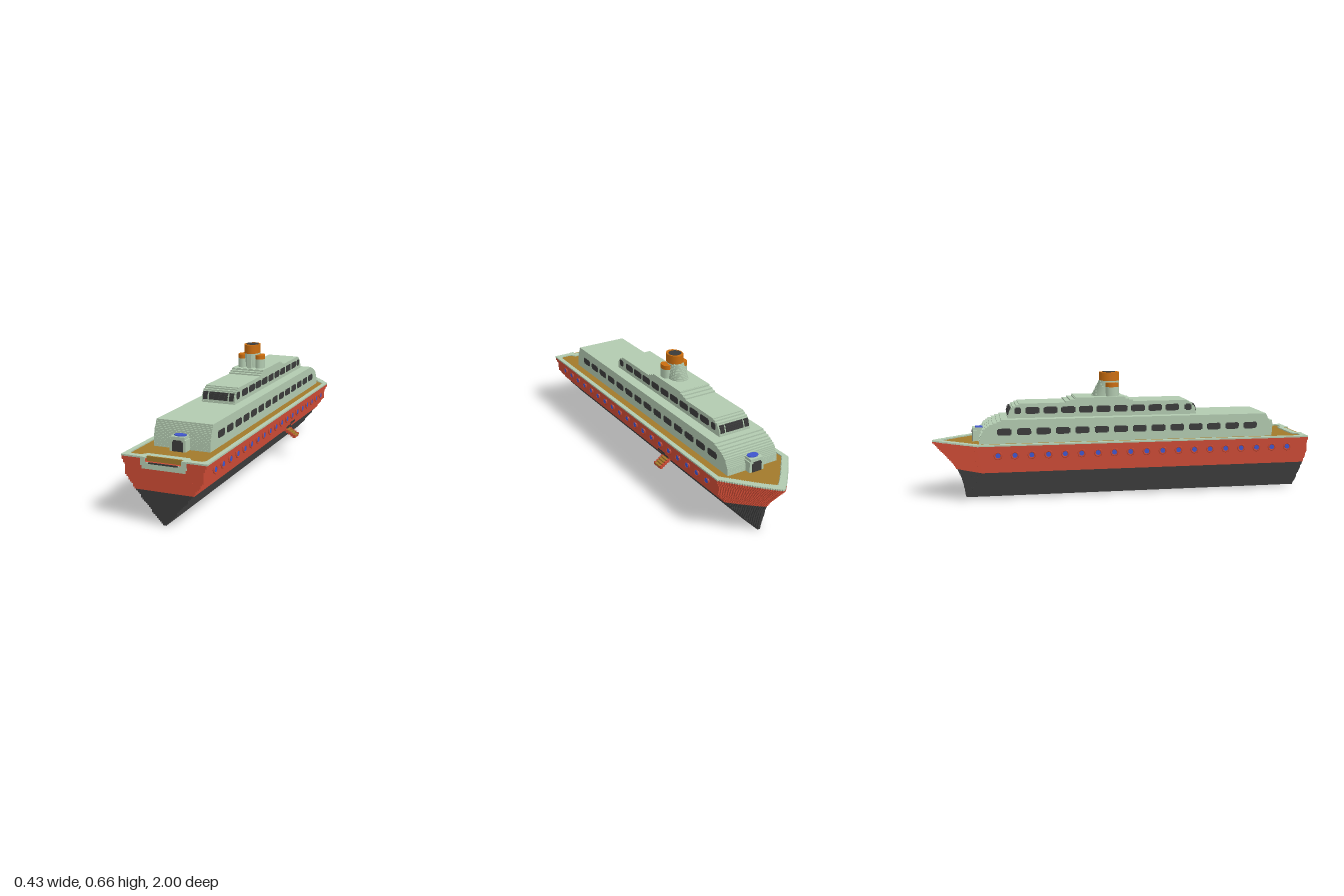
import * as THREE from 'three';
import { mergeGeometries } from 'three/addons/utils/BufferGeometryUtils.js';

const U = 2 / 256; // block step
const mat = (name, color) => Object.assign(new THREE.MeshStandardMaterial({ color }), { name });

// piecewise linear lookup in [key, value] pairs
function look(table, t) {
  for (let i = 1; i < table.length; i++) {
    const [a, va] = table[i - 1], [b, vb] = table[i];
    if (t <= b) return va + (vb - va) * Math.max(0, (t - a) / (b - a));
  }
  return table[table.length - 1][1];
}
const snap = v => Math.round(v / U) * U;

// box from min/max corners
function box(x0, x1, y0, y1, z0, z1) {
  return new THREE.BoxGeometry(x1 - x0, y1 - y0, z1 - z0)
    .translate((x0 + x1) / 2, (y0 + y1) / 2, (z0 + z1) / 2);
}

// ship outline seen from above, with a stepped pointed bow
function plan(half, tip, shoulder, stern) {
  const n = Math.max(1, Math.round(half / U)), side = [];
  for (let i = 0; i < n; i++) {
    const z = tip + (shoulder - tip) * Math.pow(i / n, 1.1);
    side.push([i * U, z], [(i + 1) * U, z]);
  }
  side.shift();
  return [...side, ...stern, ...[...stern].reverse().map(([x, z]) => [-x, z]),
    ...side.reverse().map(([x, z]) => [-x, z])].map(p => new THREE.Vector2(...p));
}
function slab(outline, y0, y1, hole) {
  const s = new THREE.Shape(outline);
  if (hole) s.holes.push(new THREE.Path(hole));
  return new THREE.ExtrudeGeometry(s, { depth: y1 - y0, bevelEnabled: false })
    .rotateX(Math.PI / 2).translate(0, y1, 0);
}

// deckhouse with stepped sloping ends
function house(half, y0, y1, aft, fore) {
  const parts = [];
  for (let y = y0; y < y1 - 1e-6; y += U) {
    const t = Math.min(y + U, y1);
    parts.push(box(-half, half, y, t, look(fore, t), look(aft, t)));
  }
  return mergeGeometries(parts);
}

// side window plates with clipped corners, on both sides
function sideWindows(x, y, list, h) {
  const parts = [];
  for (const [z, w] of list) for (const s of [-1, 1]) {
    const a = s * x - 0.003, b = s * x + 0.003;
    parts.push(box(a, b, y - h / 2 + 0.005, y + h / 2 - 0.005, z - w / 2, z + w / 2));
    parts.push(box(a, b, y - h / 2, y + h / 2, z - w / 2 + 0.006, z + w / 2 - 0.006));
  }
  return mergeGeometries(parts);
}

export function createModel() {
  const g = new THREE.Group();
  g.name = 'ship';
  const pale = mat('pale green paint', 0xb2cab0), red = mat('red hull', 0xcb4a34),
    dark = mat('charcoal', 0x3a3a3a), wood = mat('deck wood', 0xa27a2b),
    orange = mat('orange paint', 0xcb6d0d), blue = mat('blue glass', 0x3f55cc);
  const add = (name, geo, m) => {
    const mesh = new THREE.Mesh(geo, m);
    mesh.name = name;
    g.add(mesh);
    return mesh;
  };

  // hull built from stacked slabs
  const halfAt = [[0, 0.004], [0.155, 0.14], [0.23, 0.197], [0.29, 0.2], [0.3, 0.214], [0.32, 0.214]];
  const tipAt = [[0, -0.83], [0.06, -0.84], [0.11, -0.852], [0.155, -0.873], [0.2, -0.905], [0.25, -0.95], [0.305, -1]];
  const shoulderAt = [[0, -0.82], [0.155, -0.74], [0.31, -0.76]];
  const keel = [], upper = [];
  for (let i = 0; i < 39; i++) {
    const y = i * U, t = y + U, w = Math.max(U, snap(look(halfAt, t)));
    const stern = i < 37 ? [[w, 0.996]] : [[w, 0.996], [0.09, 0.996], [0.09, 0.975]];
    (i < 20 ? keel : upper).push(slab(plan(w, look(tipAt, t), look(shoulderAt, t), stern), y, t));
  }
  add('lowerHull', mergeGeometries(keel), dark);
  add('upperHull', mergeGeometries(upper), red);

  // deck and rail
  const inner = plan(0.19, -0.95, -0.74, [[0.19, 0.95], [0.175, 0.967], [0.125, 0.967], [0.105, 0.94]]);
  const outer = plan(0.214, -1, -0.76, [[0.214, 0.996], [0.09, 0.996], [0.09, 0.975]]);
  add('deck', slab(inner, 38 * U, 39 * U + 0.002), wood);
  add('rail', slab(outer, 39 * U, 40 * U, inner), pale);

  // stern gate
  add('sternFrame', mergeGeometries([
    box(-0.115, -0.09, 0.273, 0.3125, 0.994, 1), box(0.09, 0.115, 0.273, 0.3125, 0.994, 1),
    box(-0.108, 0.108, 0.258, 0.289, 0.994, 1)]), pale);
  add('sternGate', box(-0.09, 0.09, 0.289, 0.3125, 0.973, 0.982), wood);
  add('sternSlot', box(-0.073, 0.073, 0.283, 0.2895, 0.996, 1.002), dark);

  // deckhouses
  add('lowerHouse', house(0.145, 0.305, 0.43,
    [[0.305, 0.813], [0.35, 0.81], [0.39, 0.8], [0.43, 0.78]],
    [[0.305, -0.76], [0.345, -0.755], [0.385, -0.735], [0.41, -0.7], [0.43, -0.645]]), pale);
  add('upperHouse', house(0.09, 0.43, 0.506,
    [[0.43, 0.403], [0.47, 0.395], [0.495, 0.375], [0.506, 0.35]],
    [[0.43, -0.61], [0.47, -0.6], [0.495, -0.58], [0.506, -0.55]]), pale);
  add('topHouse', house(0.09, 0.506, 0.531,
    [[0.506, 0.075], [0.531, 0.01]], [[0.506, -0.33], [0.531, -0.25]]), pale);

  // side windows
  const low = [], high = [[0.358, 0.038], [-0.555, 0.035]];
  for (let i = 0; i < 14; i++) low.push([0.69 - i * 0.1015, 0.074]);
  for (let i = 0; i < 9; i++) high.push([0.27 - i * 0.0935, 0.074]);
  add('lowerWindows', sideWindows(0.145, 0.368, low, 0.035), dark);
  add('upperWindows', sideWindows(0.09, 0.469, high, 0.035), dark);

  // end windows follow the stepped slope
  const panes = [];
  for (const [a, b] of [[-0.083, -0.06], [-0.05, 0.05], [0.06, 0.083]]) {
    for (let i = 0; i < 5; i++) {
      const y = 0.446 + i * 0.0075;
      const za = look([[0.43, 0.403], [0.47, 0.395], [0.495, 0.375]], y);
      const zf = look([[0.43, -0.61], [0.47, -0.6], [0.495, -0.58]], y);
      panes.push(box(a, b, y, y + 0.0075, za - 0.004, za + 0.003));
      panes.push(box(a, b, y, y + 0.0075, zf - 0.003, zf + 0.004));
    }
  }
  add('endWindows', mergeGeometries(panes), dark);

  // porches with doors and skylights
  for (const [name, z0, z1, face, mid] of [
    ['aft', 0.79, 0.855, 0.855, 0.822], ['fore', -0.79, -0.72, -0.79, -0.755]]) {
    add(name + 'Porch', mergeGeometries([
      box(-0.041, 0.041, 0.305, 0.362, z0, z1), box(-0.035, 0.035, 0.362, 0.376, z0, z1)]), pale);
    add(name + 'Door', mergeGeometries([
      box(-0.027, 0.027, 0.307, 0.352, face - 0.003, face + 0.003),
      box(-0.021, 0.021, 0.352, 0.36, face - 0.003, face + 0.003)]), dark);
    add(name + 'Skylight', new THREE.CylinderGeometry(0.031, 0.031, 0.006, 8)
      .rotateY(Math.PI / 8).scale(1, 1, 0.75).translate(0, 0.377, mid), blue);
  }

  // portholes with rims
  const rims = [], glass = [];
  for (let i = 0; i < 19; i++) for (const s of [-1, 1]) {
    const z = 0.882 - i * 0.086;
    rims.push(new THREE.TorusGeometry(0.018, 0.005, 4, 8).rotateY(Math.PI / 2).translate(s * 0.2, 0.255, z));
    glass.push(new THREE.CylinderGeometry(0.013, 0.013, 0.006, 8).rotateZ(Math.PI / 2).translate(s * 0.201, 0.255, z));
  }
  add('portholeRims', mergeGeometries(rims), red);
  add('portholes', mergeGeometries(glass), blue);

  // boarding door and stair on the left side
  const door = [], treads = [], risers = [];
  for (let i = 21; i < 27; i++) {
    const w = snap(look(halfAt, (i + 1) * U));
    door.push(box(w - 0.02, w + 0.003, i * U, (i + 1) * U, -0.25, -0.186));
  }
  for (let i = 0; i < 5; i++) {
    const x = 0.138 + i * 0.0135, y = 0.162 - i * 0.0085;
    treads.push(box(x, x + 0.0145, y - 0.007, y, -0.243, -0.193));
    for (const z of [-0.25, -0.193]) risers.push(box(x, x + 0.0145, y - 0.015, y + 0.003, z, z + 0.007));
    risers.push(box(x, x + 0.0145, y - 0.014, y - 0.007, -0.243, -0.193));
  }
  add('boardingDoor', mergeGeometries(door), dark);
  add('stairTreads', mergeGeometries(treads), wood);
  add('stairSides', mergeGeometries(risers), red);

  // raked funnel in stepped rings
  const rings = [];
  for (let i = 0; i < 11; i++) {
    const y = 0.53 + i * 0.0075, t = i / 10;
    const z0 = -0.155 + 0.04 * t, z1 = -0.025 + 0.02 * t;
    rings.push(new THREE.CylinderGeometry(1, 1, 0.0075, 16)
      .scale(0.052 - 0.012 * t, 1, (z1 - z0) / 2).translate(0, y + 0.00375, (z0 + z1) / 2));
  }
  rings.push(box(-0.012, 0.012, 0.53, 0.608, -0.03, -0.006));
  add('funnel', mergeGeometries(rings), pale);
  add('funnelBand', new THREE.CylinderGeometry(0.042, 0.042, 0.046, 16).scale(1, 1, 1.3)
    .translate(0, 0.633, -0.058), orange);
  add('funnelMouth', new THREE.CylinderGeometry(0.034, 0.034, 0.004, 16).translate(0, 0.656, -0.06), dark);

  // side exhausts
  for (const s of [-1, 1]) {
    const pipe = (y0, y1) => new THREE.CylinderGeometry(0.025, 0.025, y1 - y0, 12)
      .scale(1, 1, 1.4).translate(s * 0.049, (y0 + y1) / 2, -0.05);
    add('exhaust', pipe(0.53, 0.58), pale);
    add('exhaustCap', pipe(0.58, 0.602), orange);
  }
  return g;
}
